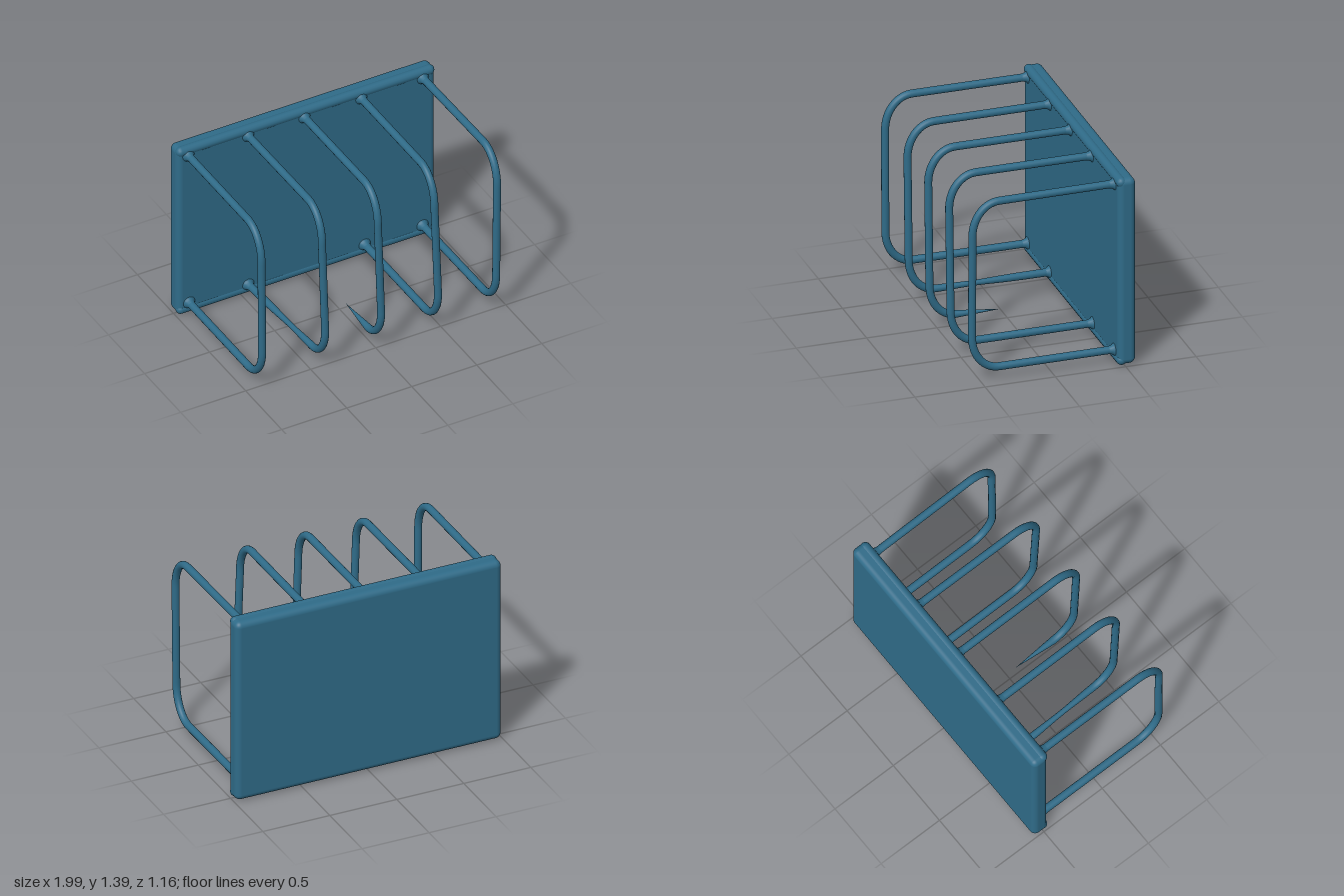
import * as THREE from 'three';
import { RoundedBoxGeometry } from 'three/addons/geometries/RoundedBoxGeometry.js';

const material = new THREE.MeshStandardMaterial({ color: 0x2f6b88 });
const WALL_Z = -0.452, FRONT_Z = 0.557, TOP_Y = 1.322, BOTTOM_Y = 0.092, RADIUS = 0.027;
const V = (x, y, z) => new THREE.Vector3(x, y, z);

function addMesh(parent, name, geometry) {
  const mesh = new THREE.Mesh(geometry, material);
  mesh.name = name;
  parent.add(mesh);
  return mesh;
}

// Rounded hoop: top run, front upright, bottom run ending at the given point
function hoopPath(xTop, xFront, xBottom, end) {
  const rz = 0.19, ry = 0.24, k = 0.56;
  const z0 = FRONT_Z - rz, yA = TOP_Y - ry, yB = BOTTOM_Y + ry;
  const path = new THREE.CurvePath();
  path.add(new THREE.LineCurve3(V(xTop, TOP_Y, WALL_Z - 0.03), V(xFront, TOP_Y, z0)));
  path.add(new THREE.CubicBezierCurve3(V(xFront, TOP_Y, z0), V(xFront, TOP_Y, z0 + k * rz),
    V(xFront, yA + k * ry, FRONT_Z), V(xFront, yA, FRONT_Z)));
  path.add(new THREE.LineCurve3(V(xFront, yA, FRONT_Z), V(xBottom, yB, FRONT_Z)));
  path.add(new THREE.CubicBezierCurve3(V(xBottom, yB, FRONT_Z), V(xBottom, yB - k * ry, FRONT_Z),
    V(xBottom, BOTTOM_Y, z0 + k * rz), V(xBottom, BOTTOM_Y, z0)));
  path.add(new THREE.LineCurve3(V(xBottom, BOTTOM_Y, z0), end));
  return path;
}

// Tube whose thickness follows scale(point) along the path
function wireGeometry(path, scale) {
  const segments = 120, sides = 14;
  const geometry = new THREE.TubeGeometry(path, segments, RADIUS, sides);
  const pos = geometry.attributes.position, p = new THREE.Vector3();
  for (let i = 0; i <= segments; i++) {
    const centre = path.getPointAt(i / segments);
    const s = scale(centre);
    for (let j = 0; j <= sides; j++) {
      const n = i * (sides + 1) + j;
      p.fromBufferAttribute(pos, n).sub(centre).multiplyScalar(s).add(centre);
      pos.setXYZ(n, p.x, p.y, p.z);
    }
  }
  return geometry;
}

// Soft flare where a wire meets the panel
const flareGeometry = new THREE.LatheGeometry(
  [[0.046, 0], [0.036, 0.01], [0.03, 0.024], [0.026, 0.045]].map(([r, y]) => new THREE.Vector2(r, y)), 16);

export function createModel() {
  const model = new THREE.Group();
  model.name = 'wallRack';

  // Back panel with slightly swollen top and bottom edges
  const panel = addMesh(model, 'backPanel', new RoundedBoxGeometry(1.985, 1.375, 0.126, 5, 0.042));
  panel.position.set(0, 0.698, -0.516);
  for (const y of [0.04, 1.355]) {
    const edge = addMesh(model, 'panelEdge', new THREE.CapsuleGeometry(0.036, 1.91, 6, 14));
    edge.rotation.z = Math.PI / 2;
    edge.position.set(0, y, -0.482);
  }

  // Five wire dividers; the second thins underneath, the middle one stops in a point
  const plain = () => 1;
  const thinned = (c) => c.y > 0.1 ? 1 : 1 - 0.3 * Math.exp(-(((c.z - 0.1) / 0.2) ** 2));
  const tipZ = 0.06;
  const pointed = (c) => c.y > 0.1 ? 1 : THREE.MathUtils.clamp((c.z - tipZ) / 0.32, 0.02, 1);
  const backZ = WALL_Z - 0.03;
  const wires = [
    { top: -0.91, front: -0.91, bottom: -0.905, end: V(-0.905, BOTTOM_Y, backZ), scale: plain },
    { top: -0.45, front: -0.445, bottom: -0.42, end: V(-0.45, 0.078, backZ), scale: thinned },
    { top: -0.018, front: -0.015, bottom: 0.01, end: V(0.015, 0.085, tipZ), scale: pointed, open: true },
    { top: 0.42, front: 0.42, bottom: 0.448, end: V(0.445, BOTTOM_Y, backZ), scale: plain },
    { top: 0.893, front: 0.902, bottom: 0.895, end: V(0.89, BOTTOM_Y, backZ), scale: plain },
  ];
  for (const w of wires) {
    const divider = new THREE.Group();
    divider.name = 'wireDivider';
    addMesh(divider, 'wire', wireGeometry(hoopPath(w.top, w.front, w.bottom, w.end), w.scale));
    const joints = [[w.top, TOP_Y]];
    if (!w.open) joints.push([w.end.x, w.end.y]);
    for (const [x, y] of joints) {
      const flare = addMesh(divider, 'wireFlare', flareGeometry);
      flare.rotation.x = Math.PI / 2;
      flare.position.set(x, y, WALL_Z - 0.002);
    }
    model.add(divider);
  }
  return model;
}
